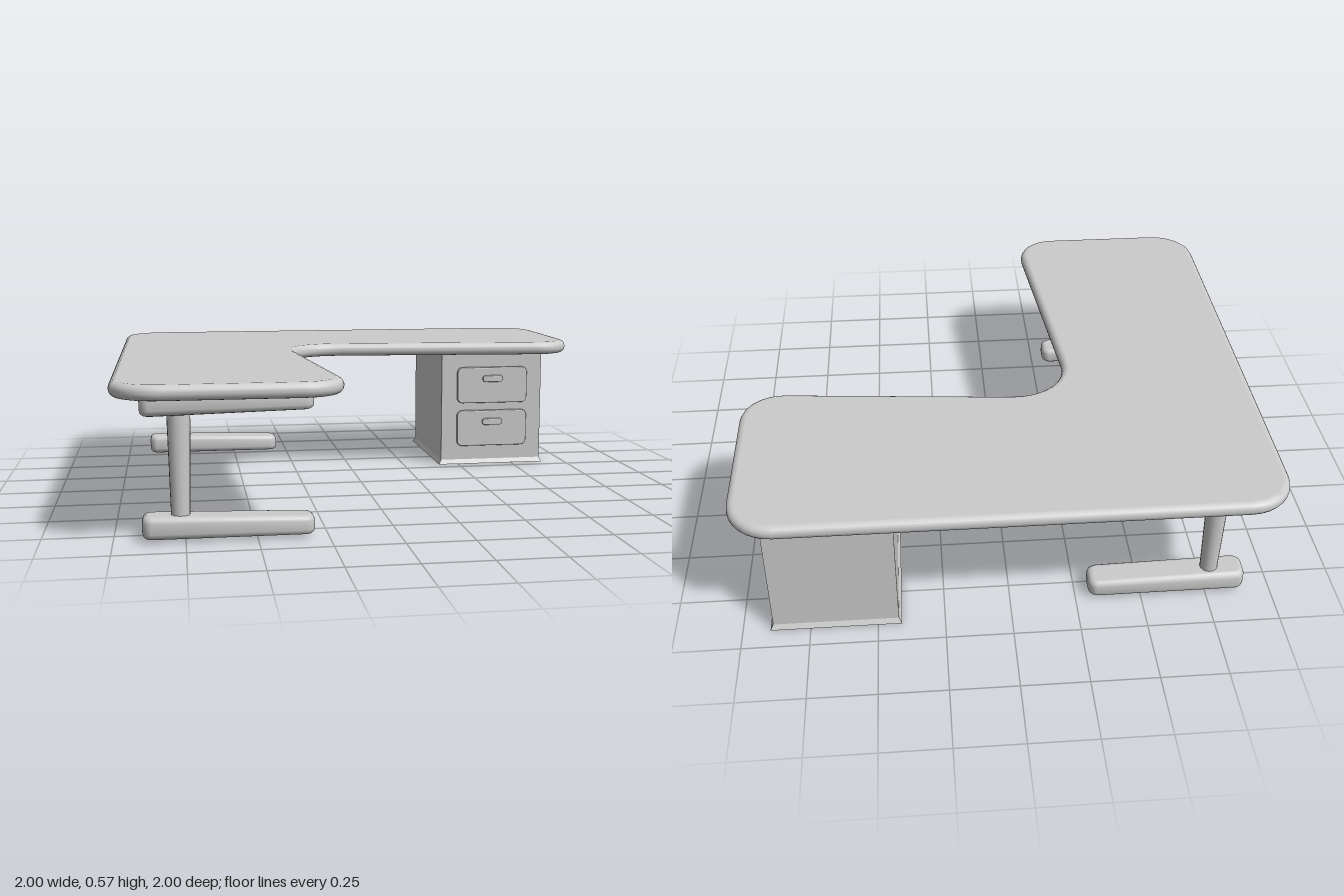
import * as THREE from 'three';
import { toCreasedNormals } from 'three/addons/utils/BufferGeometryUtils.js';

const material = new THREE.MeshStandardMaterial({ color: 0xcccccc, side: THREE.DoubleSide });

function addMesh(parent, name, geometry, x = 0, y = 0, z = 0) {
  const mesh = new THREE.Mesh(geometry, material);
  mesh.name = name;
  mesh.position.set(x, y, z);
  parent.add(mesh);
  return mesh;
}

// Outline through [x, z] corners; each corner is rounded by its own reach along both edges
function roundedOutline(corners) {
  const shape = new THREE.Shape();
  const n = corners.length;
  corners.forEach(([x, z, r], i) => {
    const p = new THREE.Vector2(x, -z);
    const toward = (c, d) => new THREE.Vector2(c[0], -c[1]).sub(p).setLength(d).add(p);
    const prev = corners[(i + n - 1) % n], next = corners[(i + 1) % n];
    const a = toward(prev, r), b = toward(next, r);
    const ca = toward(prev, r * 0.45), cb = toward(next, r * 0.45);
    if (i === 0) shape.moveTo(a.x, a.y);
    else shape.lineTo(a.x, a.y);
    shape.bezierCurveTo(ca.x, ca.y, cb.x, cb.y, b.x, b.y);
  });
  shape.closePath();
  return shape;
}

// Hollow slab lying in the xz plane, from y = 0 up to height, with a rounded rim,
// a flat top face and no bottom face
function slab(corners, height, bevel, bevelSegments) {
  const extruded = new THREE.ExtrudeGeometry(roundedOutline(corners), {
    depth: height - 2 * bevel,
    bevelThickness: bevel,
    bevelSize: bevel,
    bevelOffset: -bevel,
    bevelSegments,
    curveSegments: 8,
  });
  extruded.translate(0, 0, bevel).rotateX(-Math.PI / 2);
  const rounded = toCreasedNormals(extruded, 0.7);
  const pos = rounded.attributes.position, nor = rounded.attributes.normal;
  const points = [], normals = [];
  for (let i = 0; i < pos.count; i += 3) {
    const lies = (y) => [0, 1, 2].every((k) => Math.abs(pos.getY(i + k) - y) < 1e-5);
    if (lies(0)) continue;
    const top = lies(height);
    for (let k = i; k < i + 3; k++) {
      points.push(pos.getX(k), pos.getY(k), pos.getZ(k));
      if (top) normals.push(0, 1, 0);
      else normals.push(nor.getX(k), nor.getY(k), nor.getZ(k));
    }
  }
  const geometry = new THREE.BufferGeometry();
  geometry.setAttribute('position', new THREE.Float32BufferAttribute(points, 3));
  geometry.setAttribute('normal', new THREE.Float32BufferAttribute(normals, 3));
  return geometry;
}

// Rectangle corners for a slab
const rect = (w, d, r) => [[-w / 2, -d / 2, r], [-w / 2, d / 2, r], [w / 2, d / 2, r], [w / 2, -d / 2, r]];

// Hollow bar whose top drops slightly toward +x
function taperedBar() {
  const geometry = slab(rect(0.6, 0.12, 0.038), 0.083, 0.022, 3);
  const pos = geometry.attributes.position;
  for (let i = 0; i < pos.count; i++) {
    const drop = 0.18 * (pos.getX(i) / 0.6 + 0.5);
    pos.setY(i, pos.getY(i) * (1 - drop));
  }
  return geometry;
}

// Four walls without top or bottom, flaring from the upper to the lower rectangle
function openWalls(w, d, height, flare) {
  const geometry = new THREE.CylinderGeometry(Math.SQRT1_2, Math.SQRT1_2, height, 4, 1, true);
  geometry.rotateY(Math.PI / 4);
  const pos = geometry.attributes.position;
  for (let i = 0; i < pos.count; i++) {
    const grow = pos.getY(i) < 0 ? flare : 0;
    pos.setX(i, pos.getX(i) * (w + grow));
    pos.setZ(i, pos.getZ(i) * (d + grow));
  }
  return toCreasedNormals(geometry, 0.5);
}

function createLeg(z) {
  const leg = new THREE.Group();
  leg.name = 'leg';
  leg.position.z = z;
  addMesh(leg, 'foot', taperedBar(), -0.599, 0.01, 0);
  addMesh(leg, 'topSupport', taperedBar().rotateX(Math.PI), -0.599, 0.523, 0);
  addMesh(leg, 'post', new THREE.CylinderGeometry(0.041, 0.033, 0.37, 20, 1, true), -0.766, 0.264, 0);
  return leg;
}

function createCabinet() {
  const cabinet = new THREE.Group();
  cabinet.name = 'drawerCabinet';
  cabinet.position.set(0.655, 0, -0.613);
  addMesh(cabinet, 'cabinetBody', openWalls(0.465, 0.588, 0.495, 0), 0, 0.2675, 0);
  addMesh(cabinet, 'plinth', openWalls(0.465, 0.588, 0.02, 0.022), 0, 0.01, 0);

  for (const y of [0.166, 0.364]) {
    const front = slab(rect(0.325, 0.164, 0.025), 0.02, 0.005, 2).rotateX(Math.PI / 2);
    addMesh(cabinet, 'drawerFront', front, 0, y, 0.292);
    const handle = slab(rect(0.094, 0.03, 0.013), 0.02, 0.005, 2).rotateX(Math.PI / 2);
    addMesh(cabinet, 'drawerHandle', handle, 0, y + 0.03, 0.302);
  }
  return cabinet;
}

export function createModel() {
  const desk = new THREE.Group();
  desk.name = 'cornerDesk';

  // L-shaped top with a wide rounded inner corner
  const top = slab([
    [-1, -1, 0.17],
    [-1, 1, 0.17],
    [-0.18, 1, 0.17],
    [-0.293, -0.293, 0.25],
    [1, -0.18, 0.17],
    [1, -1, 0.17],
  ], 0.055, 0.026, 4);
  addMesh(desk, 'desktop', top, 0, 0.511, 0);

  // Two legs under the right wing, drawers under the left wing
  for (const z of [0.82, -0.79]) desk.add(createLeg(z));
  desk.add(createCabinet());
  return desk;
}
